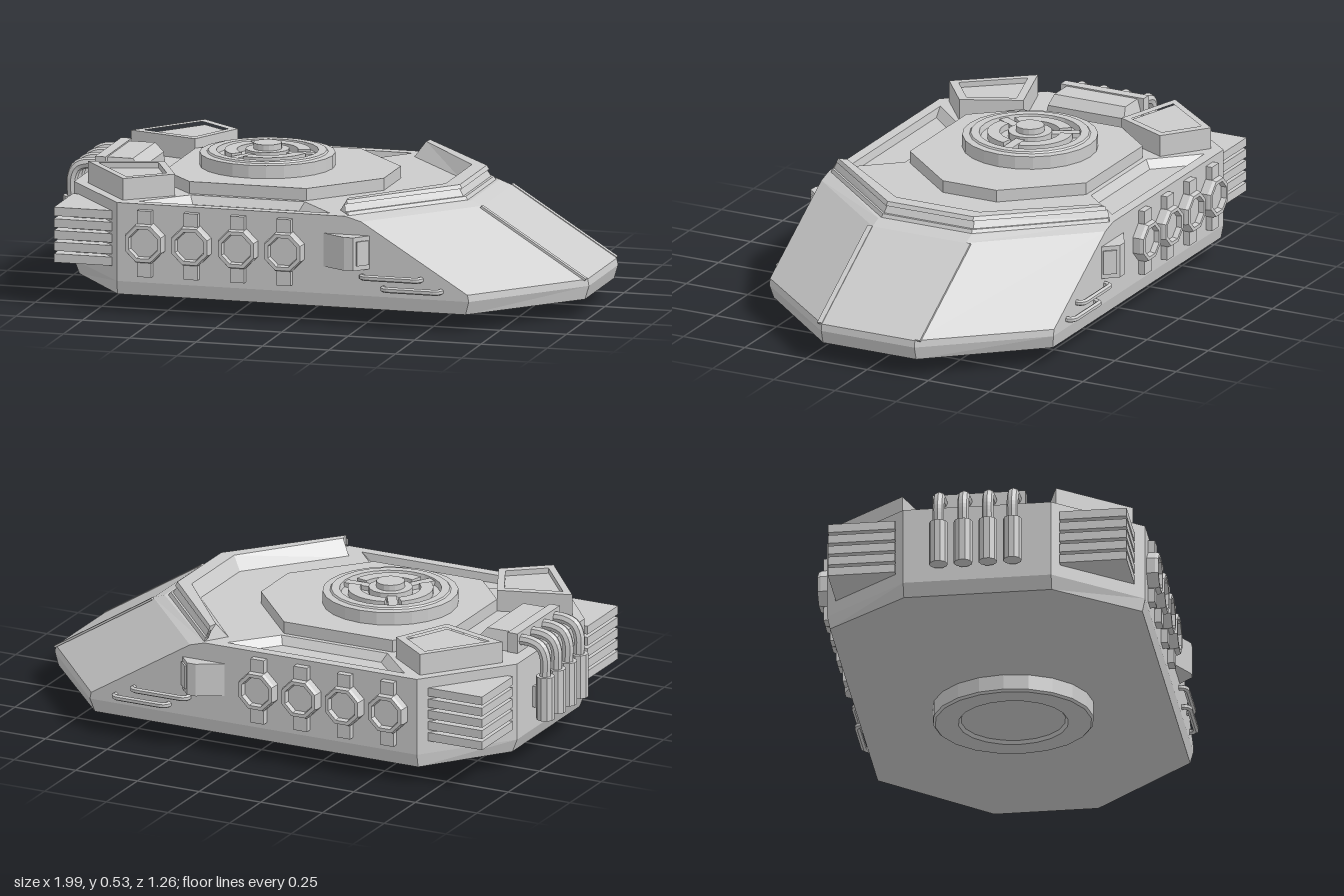
import * as THREE from 'three';

const grey = new THREE.MeshStandardMaterial({ color: 0xcccccc, flatShading: true });
const V = (x, y) => new THREE.Vector2(x, y);

// Skin through equal-length rings, each counter-clockwise seen from the far end
function loft(rings, capStart = true, capEnd = true) {
  const pos = [];
  const tri = (a, b, c) => pos.push(...a, ...b, ...c);
  const n = rings[0].length;
  for (let i = 0; i + 1 < rings.length; i++) {
    for (let j = 0; j < n; j++) {
      const k = (j + 1) % n, lo = rings[i], hi = rings[i + 1];
      tri(lo[j], lo[k], hi[k]);
      tri(lo[j], hi[k], hi[j]);
    }
  }
  const first = rings[0], last = rings[rings.length - 1];
  for (let j = 1; j + 1 < n; j++) {
    if (capStart) tri(first[0], first[j + 1], first[j]);
    if (capEnd) tri(last[0], last[j], last[j + 1]);
  }
  const g = new THREE.BufferGeometry();
  g.setAttribute('position', new THREE.Float32BufferAttribute(pos, 3));
  g.computeVertexNormals();
  return g;
}

// Plan outline [x, z] with optional holes
function plan(pts, holes = []) {
  const shape = new THREE.Shape(pts.map(([x, z]) => V(x, -z)));
  holes.forEach(h => shape.holes.push(new THREE.Path(h.map(([x, z]) => V(x, -z)))));
  return shape;
}

// Upright prism over a plan outline
function prism(pts, y0, y1, holes) {
  const g = new THREE.ExtrudeGeometry(plan(pts, holes), { depth: y1 - y0, bevelEnabled: false, curveSegments: 12 });
  return g.rotateX(-Math.PI / 2).translate(0, y0, 0);
}

// Shrink an outline towards its centre
function inset(pts, k) {
  const c = [0, 1].map(a => pts.reduce((s, p) => s + p[a], 0) / pts.length);
  return pts.map(p => p.map((v, a) => c[a] + (v - c[a]) * k));
}

export function createModel() {
  const root = new THREE.Group();
  const add = (name, geo, x = 0, y = 0, z = 0, parent = root) => {
    const m = new THREE.Mesh(geo, grey);
    m.name = name;
    m.position.set(x, y, z);
    parent.add(m);
    return m;
  };
  const box = (name, x0, x1, y0, y1, z0, z1) =>
    add(name, new THREE.BoxGeometry(x1 - x0, y1 - y0, Math.abs(z1 - z0)), (x0 + x1) / 2, (y0 + y1) / 2, (z0 + z1) / 2);

  // Hull: eight-sided rings rising to a sloped nose
  const TOP = 0.405;
  const outline = (nose, shoulder, w = 0.58, rear = -0.92) => [
    [nose, 0.19], [nose, -0.19], [shoulder, -w], [-0.67, -w],
    [rear, -0.27], [rear, 0.27], [-0.67, w], [shoulder, w]];
  const at = (pts, y) => pts.map(([x, z]) => [x, y, z]);
  const deck = outline(0.55, 0.19);
  add('hull', loft([
    at(outline(0.98, 0.64, 0.57, -0.9), 0.065), at(outline(0.995, 0.655), 0.115),
    at(outline(0.99, 0.65), 0.14), at(outline(0.595, 0.25), 0.388), at(deck, TOP)], true, false));

  // Deck with a sunken pan along each side
  const panTop = [[-0.6, 0.54], [0.12, 0.54], [-0.02, 0.38], [-0.45, 0.38]];
  const panFloor = [[-0.56, 0.535], [0.08, 0.535], [-0.035, 0.402], [-0.435, 0.402]];
  const mirror = (pts, s) => (s > 0 ? pts : pts.map(([x, z]) => [x, -z]).reverse());
  const holes = [1, -1].map(s => mirror(panTop, s));
  add('deck', new THREE.ShapeGeometry(plan(deck, holes)).rotateX(-Math.PI / 2), 0, TOP, 0);
  for (const s of [1, -1]) {
    add('sidePan', loft([at(mirror(panTop, s), TOP), at(mirror(panFloor, s), TOP - 0.03)], false, true));
  }

  // Raised strips down the nose ridges
  for (const s of [1, -1]) {
    const strip = add('noseRidge', new THREE.BoxGeometry(0.465, 0.008, 0.02), 0.79, 0.264, s * 0.2);
    strip.rotation.z = -Math.atan2(0.248, 0.395);
  }

  // Octagonal turret platform
  add('platform', prism([[-0.6, 0.2], [-0.46, 0.36], [-0.02, 0.36], [0.2, 0.11],
    [0.2, -0.11], [-0.02, -0.36], [-0.46, -0.36], [-0.6, -0.2]], 0.4, 0.45));

  // Hatch: stepped rim, sunken floor, segmented arcs, spokes and hub
  const hatch = new THREE.Group();
  hatch.name = 'hatch';
  hatch.position.set(-0.27, 0.45, 0);
  root.add(hatch);
  add('hatchRim', new THREE.LatheGeometry([V(0.246, 0), V(0.246, 0.048), V(0.22, 0.05), V(0.215, 0.056),
    V(0.185, 0.056), V(0.18, 0.035), V(0, 0.035)], 24), 0, 0, 0, hatch);
  for (let i = 0; i < 3; i++) {
    const a = i * Math.PI * 2 / 3;
    const arc = new THREE.Shape();
    arc.absarc(0, 0, 0.155, a + 0.2, a + 1.9, false);
    arc.absarc(0, 0, 0.11, a + 1.9, a + 0.2, true);
    const g = new THREE.ExtrudeGeometry(arc, { depth: 0.025, bevelEnabled: false, curveSegments: 8 });
    add('hatchArc', g.rotateX(-Math.PI / 2), 0, 0.033, 0, hatch);
    const spoke = add('hatchSpoke', new THREE.BoxGeometry(0.14, 0.018, 0.035).translate(0.11, 0, 0), 0, 0.043, 0, hatch);
    spoke.rotation.y = a;
  }
  add('hatchCollar', new THREE.CylinderGeometry(0.08, 0.08, 0.028, 16), 0, 0.047, 0, hatch);
  add('hatchHub', new THREE.CylinderGeometry(0.052, 0.052, 0.05, 16), 0, 0.058, 0, hatch);

  // Front barrier: a bar bent round the deck with a grooved outer face
  const end = [[0.2, 0.57], [0.185, 0.545], [0.18, 0.51], [0.14, 0.48]];
  const bend = [[0.54, 0.185], [0.505, 0.175], [0.45, 0.17], [0.417, 0.155]];
  const section = ([ob, ot, it, ib], s) => {
    const mix = (t, d) => [ob[0] + (ot[0] - ob[0]) * t - d, 0.4 + 0.058 * t, s * (ob[1] + (ot[1] - ob[1]) * t)];
    return [[ob[0], 0.4, s * ob[1]], [ib[0], 0.4, s * ib[1]], [it[0], 0.458, s * it[1]],
      mix(1, 0), mix(0.75, 0), mix(0.75, 0.01), mix(0.3, 0.01), mix(0.3, 0)];
  };
  add('frontBarrier', loft([section(end, 1), section(bend, 1), section(bend, -1), section(end, -1)]));

  for (const s of [1, -1]) {
    // Rear corner fin with a sunken top
    const fin = [[-0.66, 0.535], [-0.5, 0.41], [-0.6, 0.2], [-0.865, 0.28]].map(([x, z]) => [x, z * s]);
    add('rearFin', prism(fin, 0.4, 0.465));
    add('rearFinFrame', prism(fin, 0.465, 0.485, [inset(fin, 0.78)]));

    // Louvre slats on the rear corner
    for (let i = 0; i < 5; i++) {
      const y = 0.178 + i * 0.043;
      box('louvre', -0.917, -0.62, y - 0.016, y + 0.016, s * 0.3, s * 0.545);
    }
    box('louvreCore', -0.86, -0.65, 0.17, 0.355, s * 0.3, s * 0.5);

    // Round side ports held by straps
    for (let i = 0; i < 4; i++) {
      const x = -0.56 + i * 0.175;
      const port = new THREE.LatheGeometry([V(0.077, 0), V(0.077, 0.03), V(0.072, 0.042), V(0.058, 0.042),
        V(0.054, 0.022), V(0, 0.022)], 8, Math.PI / 8);
      add('sidePort', port.rotateX(s * Math.PI / 2), x, 0.265, s * 0.58);
      box('upperStrap', x - 0.027, x + 0.027, 0.33, 0.385, s * 0.575, s * 0.605);
      box('lowerStrap', x - 0.027, x + 0.027, 0.14, 0.2, s * 0.575, s * 0.605);
    }

    // Wedge pod with a framed front opening
    add('sidePod', prism([[0.1, 0.575], [0.2, 0.632], [0.235, 0.632], [0.285, 0.575]].map(([x, z]) => [x, z * s]), 0.215, 0.338));
    const plate = add('podPlate', new THREE.BoxGeometry(0.05, 0.09, 0.01), 0.261, 0.277, s * 0.604);
    plate.rotation.y = s * Math.atan2(0.057, 0.05);

    // Grab rails
    for (const [x0, x1, y] of [[0.255, 0.475, 0.187], [0.335, 0.55, 0.147]]) {
      const pts = [[x0, 0.57], [x0, 0.595], [x0 + 0.015, 0.606], [x1 - 0.015, 0.606], [x1, 0.595], [x1, 0.57]];
      const path = new THREE.CurvePath();
      for (let i = 0; i < 5; i++) {
        path.add(new THREE.LineCurve3(...[pts[i], pts[i + 1]].map(([x, z]) => new THREE.Vector3(x, y, s * z))));
      }
      add('grabRail', new THREE.TubeGeometry(path, 40, 0.011, 6));
    }
  }

  // Engine box feeding four exhaust pipes
  add('engineBox', loft([at([[-0.705, 0.165], [-0.705, -0.165], [-0.87, -0.165], [-0.87, 0.165]], 0.4),
    at([[-0.705, 0.155], [-0.705, -0.155], [-0.87, -0.155], [-0.87, 0.155]], 0.44),
    at([[-0.735, 0.145], [-0.735, -0.145], [-0.87, -0.145], [-0.87, 0.145]], 0.475)]));
  box('engineFlange', -0.87, -0.83, 0.4, 0.48, -0.17, 0.17);
  for (let i = 0; i < 4; i++) {
    const z = -0.135 + i * 0.09;
    const path = new THREE.CatmullRomCurve3([[-0.85, 0.447], [-0.91, 0.447], [-0.947, 0.432], [-0.965, 0.395], [-0.965, 0.32]]
      .map(([x, y]) => new THREE.Vector3(x, y, z)));
    add('exhaustPipe', new THREE.TubeGeometry(path, 16, 0.021, 8));
    add('exhaustMuffler', new THREE.CylinderGeometry(0.034, 0.034, 0.165, 10), -0.966, 0.242, z);
    box('mufflerBracket', -0.96, -0.91, 0.2, 0.28, z - 0.012, z + 0.012);
  }

  // Turntable ring below, dished underneath
  const ring = add('turntable', new THREE.LatheGeometry([V(0, 0.025), V(0.13, 0.025), V(0.19, 0.012), V(0.2, 0),
    V(0.285, 0), V(0.293, 0.008), V(0.293, 0.07)], 20), 0.075, 0, 0);
  ring.scale.x = 0.935;
  return root;
}
